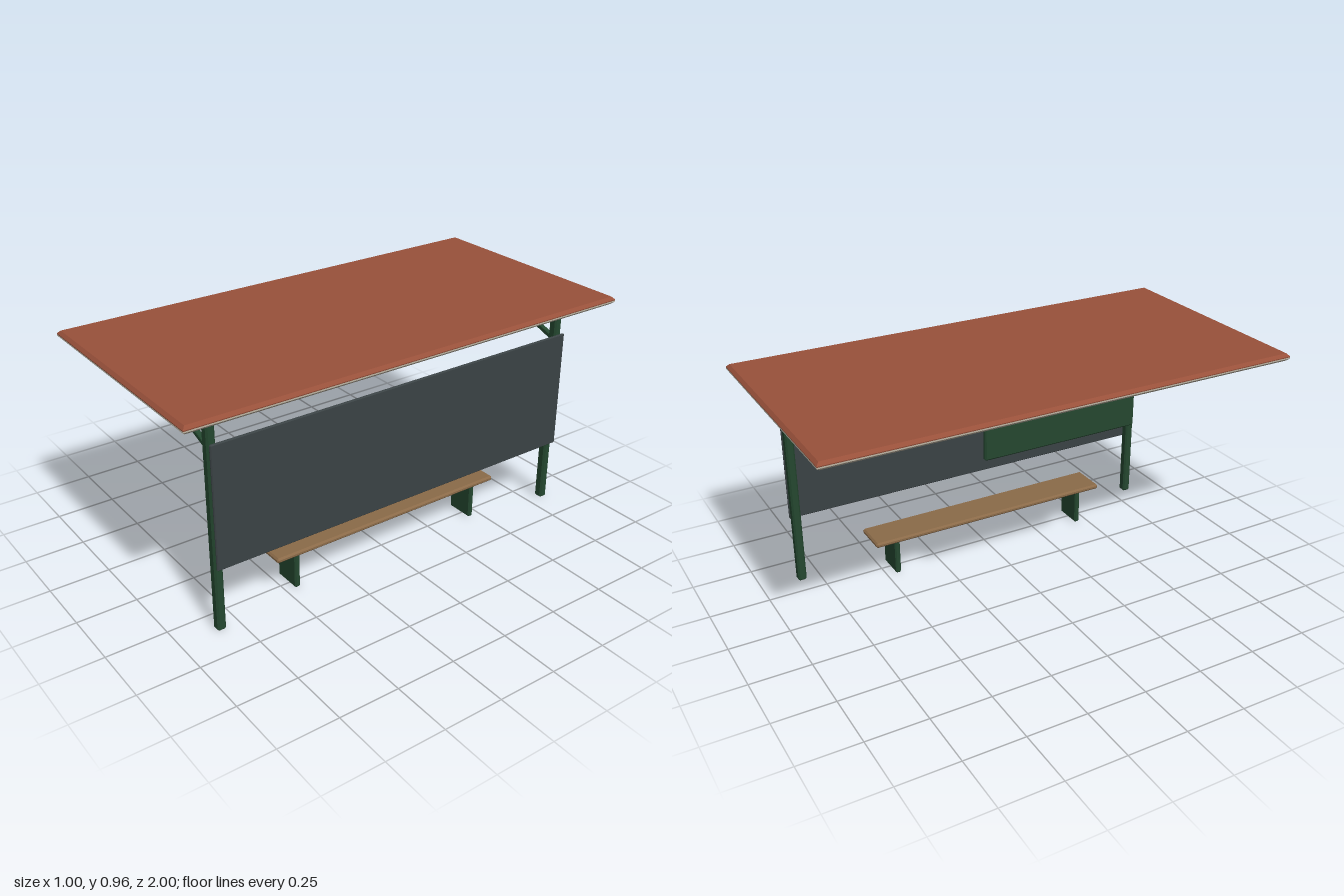
import * as THREE from 'three';
import { ConvexGeometry } from 'three/addons/geometries/ConvexGeometry.js';

const mat = (name, color) => Object.assign(new THREE.MeshStandardMaterial({ color }), { name });

// Box with all twelve edges cut at 45 degrees
function chamferBox(w, h, d, c) {
  const points = [];
  for (const sx of [-1, 1]) for (const sy of [-1, 1]) for (const sz of [-1, 1]) {
    const [x, y, z] = [w / 2, h / 2, d / 2];
    points.push(
      new THREE.Vector3(sx * x, sy * (y - c), sz * (z - c)),
      new THREE.Vector3(sx * (x - c), sy * y, sz * (z - c)),
      new THREE.Vector3(sx * (x - c), sy * (y - c), sz * z));
  }
  return new ConvexGeometry(points);
}

// Rectangular slab built from [inset, y] levels
function slab(w, d, levels) {
  const points = [];
  for (const [inset, y] of levels)
    for (const sx of [-1, 1]) for (const sz of [-1, 1])
      points.push(new THREE.Vector3(sx * (w / 2 - inset), y, sz * (d / 2 - inset)));
  return new ConvexGeometry(points);
}

export function createModel() {
  const red = mat('roof red', 0x98503a);
  const cream = mat('soffit cream', 0xb0a898);
  const green = mat('frame green', 0x24472f);
  const slate = mat('panel slate', 0x3a4244);
  const wood = mat('bench wood', 0x8a6a48);

  const model = new THREE.Group();
  model.name = 'shelter';
  const add = (name, geometry, material, x = 0, y = 0, z = 0) => {
    const mesh = new THREE.Mesh(geometry, material);
    mesh.name = name;
    mesh.position.set(x, y, z);
    model.add(mesh);
    return mesh;
  };
  // Chamfered block given by its limits
  const block = (name, material, [x0, x1], [y0, y1], [z0, z1], c) =>
    add(name, chamferBox(x1 - x0, y1 - y0, z1 - z0, c), material,
      (x0 + x1) / 2, (y0 + y1) / 2, (z0 + z1) / 2);

  // Roof: red covering over a pale soffit
  add('roofTop', slab(1, 2, [[0.001, 0.941], [0, 0.945], [0.012, 0.957]]), red);
  add('roofSoffit', slab(1, 2, [[0.012, 0.925], [0, 0.936], [0.001, 0.941]]), cream);

  // Back panel and hanging sign board
  block('backPanel', slate, [0.372, 0.384], [0.28, 0.793], [-0.845, 0.845], 0.004);
  block('signBoard', green, [-0.39, -0.37], [0.751, 0.895], [-0.326, 0.326], 0.006);

  // Bench seat
  block('benchSeat', wood, [0.163, 0.317], [0.157, 0.179], [-0.55, 0.55], 0.007);

  // Posts, sloping roof arms and bench legs, mirrored end to end
  const from = new THREE.Vector2(0.345, 0.761), to = new THREE.Vector2(-0.101, 0.917);
  const mid = from.clone().add(to).multiplyScalar(0.5);
  for (const s of [-1, 1]) {
    const z = s * 0.828;
    block('post', green, [0.324, 0.363], [0, 0.897], [z - 0.018, z + 0.018], 0.007);
    const arm = add('roofArm', chamferBox(from.distanceTo(to), 0.02, 0.02, 0.003), green, mid.x, mid.y, z);
    arm.rotation.z = Math.atan2(from.y - to.y, from.x - to.x);
    block('benchLeg', green, [0.178, 0.301], [0.002, 0.159], [s * 0.45 - 0.012, s * 0.45 + 0.012], 0.006);
  }

  // Round lamp disc under the roof, with a raised centre
  const disc = (name, r, depth) =>
    add(name, new THREE.CylinderGeometry(r, r, depth, 24).rotateX(Math.PI / 2), cream, -0.036, 0.904, 0);
  disc('lampRim', 0.04, 0.012);
  disc('lampFace', 0.032, 0.018);

  return model;
}
